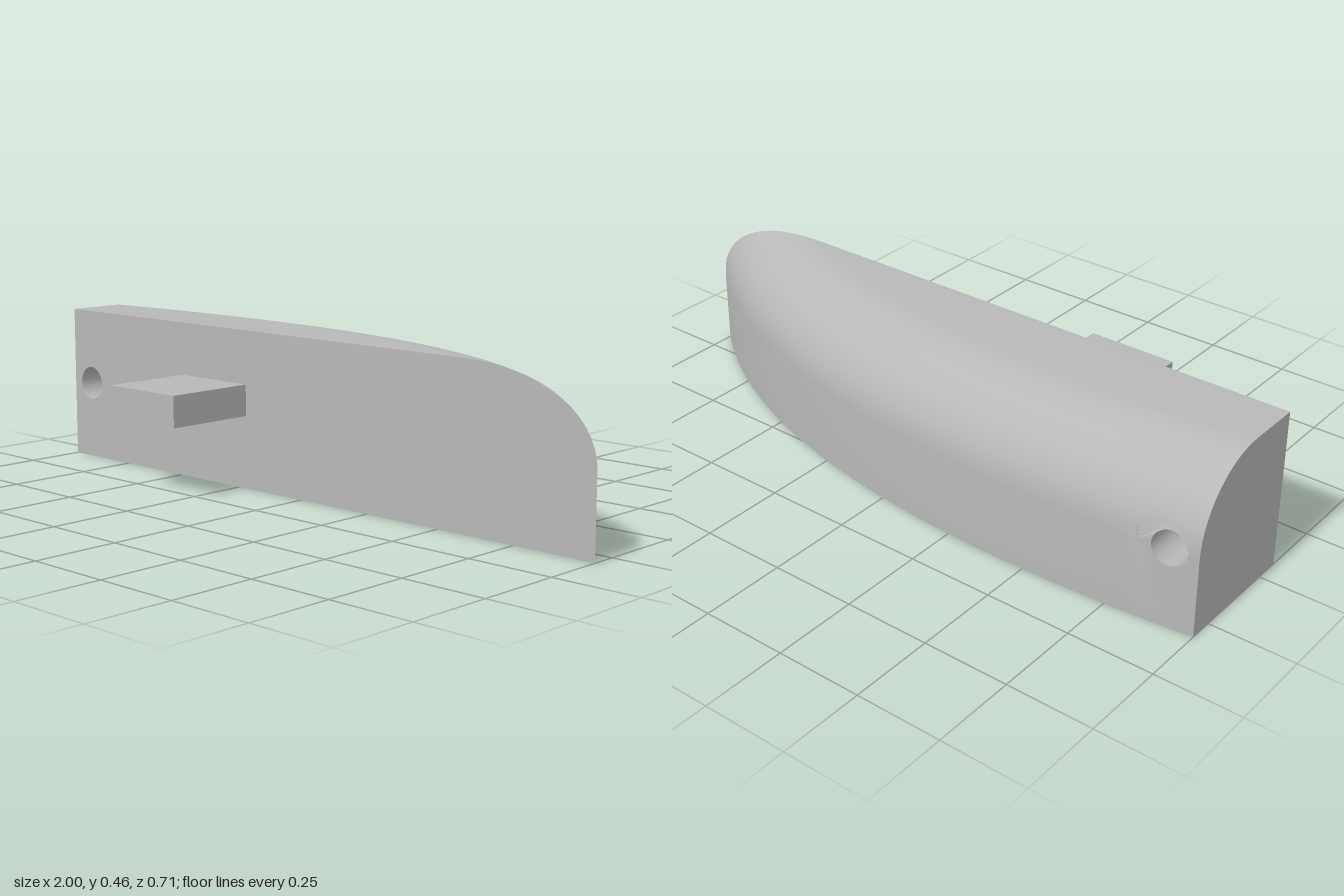
import * as THREE from 'three';
import { toCreasedNormals } from 'three/addons/utils/BufferGeometryUtils.js';

const FRONT = 0.073;      // z of the flat face
const WALL = 0.23;        // height where the rounding starts
const R = 0.233;          // rounding radius along the back edge
const HOLE = { x: -0.92, y: 0.235, r: 0.05 };

// Plan outline of the curved back: cubic curve in x and z
const bez = (t, a, b, c, d) => {
  const s = 1 - t;
  return s * s * s * a + 3 * s * s * t * b + 3 * s * t * t * c + t * t * t * d;
};
const slope = (t, a, b, c, d) => {
  const s = 1 - t;
  return s * s * (b - a) + 2 * s * t * (c - b) + t * t * (d - c);
};
const PX = [-1, -0.33, 0.46, 1];
const PZ = [-0.32, -0.4, -0.38, FRONT];

// Outline moved inwards by d
function offset(t, d) {
  const tx = slope(t, ...PX), tz = slope(t, ...PZ), l = Math.hypot(tx, tz);
  return { x: bez(t, ...PX) - d * tz / l, z: bez(t, ...PZ) + d * tx / l };
}

// Bisection for a rising function
function solve(f, lo, hi) {
  for (let i = 0; i < 40; i++) {
    const m = (lo + hi) / 2;
    if (f(m) < 0) lo = m; else hi = m;
  }
  return (lo + hi) / 2;
}

function createBody() {
  const pos = [];
  const tri = (a, b, c) => { for (const p of [a, b, c]) pos.push(p.x, p.y, p.z); };
  const toFront = (p) => new THREE.Vector3(p.x, p.y, FRONT);
  // Flat or round wall from a line of points straight to the front plane
  const strip = (pts) => {
    for (let i = 0; i + 1 < pts.length; i++) {
      const a = pts[i], b = pts[i + 1];
      tri(a, b, toFront(b));
      tri(a, toFront(b), toFront(a));
    }
  };

  // Rows of the curved back, from the floor up over the rounding
  const COLS = 48, STEPS = 14;
  const levels = [{ y: 0, d: 0 }];
  for (let k = 0; k <= STEPS; k++) {
    const a = (k / STEPS) * Math.PI / 2;
    levels.push({ y: WALL + R * Math.sin(a), d: R * (1 - Math.cos(a)) });
  }
  const rows = levels.map(({ y, d }) => {
    const t0 = solve((t) => offset(t, d).x + 1, -0.15, 0.5);
    const t1 = solve((t) => offset(t, d).z - FRONT, 0.5, 1);
    return Array.from({ length: COLS + 1 }, (_, i) => {
      const p = offset(t0 + (t1 - t0) * i / COLS, d);
      return new THREE.Vector3(i === 0 ? -1 : p.x, y, i === COLS ? FRONT : p.z);
    });
  });

  // Back surface, leaving a patch open around the hole
  const M = 4, J = 4;
  for (let j = 0; j + 1 < rows.length; j++) {
    for (let i = j < J ? M : 0; i < COLS; i++) {
      const a = rows[j][i], b = rows[j][i + 1], c = rows[j + 1][i + 1], d = rows[j + 1][i];
      tri(a, c, b);
      tri(a, d, c);
    }
  }

  // Ring where the hole breaks through the back
  const ring = [];
  for (let i = 0; i < 32; i++) {
    const a = -i / 32 * Math.PI * 2;
    const x = HOLE.x + HOLE.r * Math.cos(a), y = HOLE.y + HOLE.r * Math.sin(a);
    const h = Math.max(0, y - WALL);
    const d = R - Math.sqrt(R * R - h * h);
    const t = solve((s) => offset(s, d).x - x, -0.15, 0.5);
    ring.push(new THREE.Vector3(x, y, offset(t, d).z));
  }
  const fill = (contour, hole, flip) => {
    const flat = (p) => new THREE.Vector2(p.x, p.y);
    const all = [...contour, ...hole];
    for (const [a, b, c] of THREE.ShapeUtils.triangulateShape(contour.map(flat), [hole.map(flat)])) {
      if (flip) tri(all[a], all[c], all[b]); else tri(all[a], all[b], all[c]);
    }
  };

  // Patch of the back around the hole
  const patch = rows[0].slice(0, M + 1);
  for (let j = 1; j < J; j++) patch.push(rows[j][M]);
  patch.push(...rows[J].slice(0, M + 1).reverse());
  for (let j = J - 1; j > 0; j--) patch.push(rows[j][0]);
  fill(patch, ring, true);

  // Hole wall, floor, top and square end
  strip([...ring, ring[0]]);
  strip(rows[0]);
  strip([...rows[rows.length - 1]].reverse());
  strip(rows.map((r) => r[0]).reverse());

  // Flat front face
  const top = WALL + R;
  const face = [new THREE.Vector3(-1, 0, FRONT), ...rows.map((r) => r[COLS]), new THREE.Vector3(-1, top, FRONT)];
  fill(face, ring.map(toFront), false);

  const geo = new THREE.BufferGeometry();
  geo.setAttribute('position', new THREE.Float32BufferAttribute(pos, 3));
  return toCreasedNormals(geo, 0.5);
}

export function createModel() {
  const group = new THREE.Group();
  group.name = 'curvedHandle';
  const grey = new THREE.MeshStandardMaterial({ color: 0xb8b8b8 });
  grey.name = 'grey';

  const body = new THREE.Mesh(createBody(), grey);
  body.name = 'body';
  group.add(body);

  // Rectangular peg on the flat face
  const peg = new THREE.Mesh(new THREE.BoxGeometry(0.27, 0.092, 0.277), grey);
  peg.name = 'peg';
  peg.position.set(-0.355, 0.26, FRONT + 0.1385);
  group.add(peg);

  return group;
}
